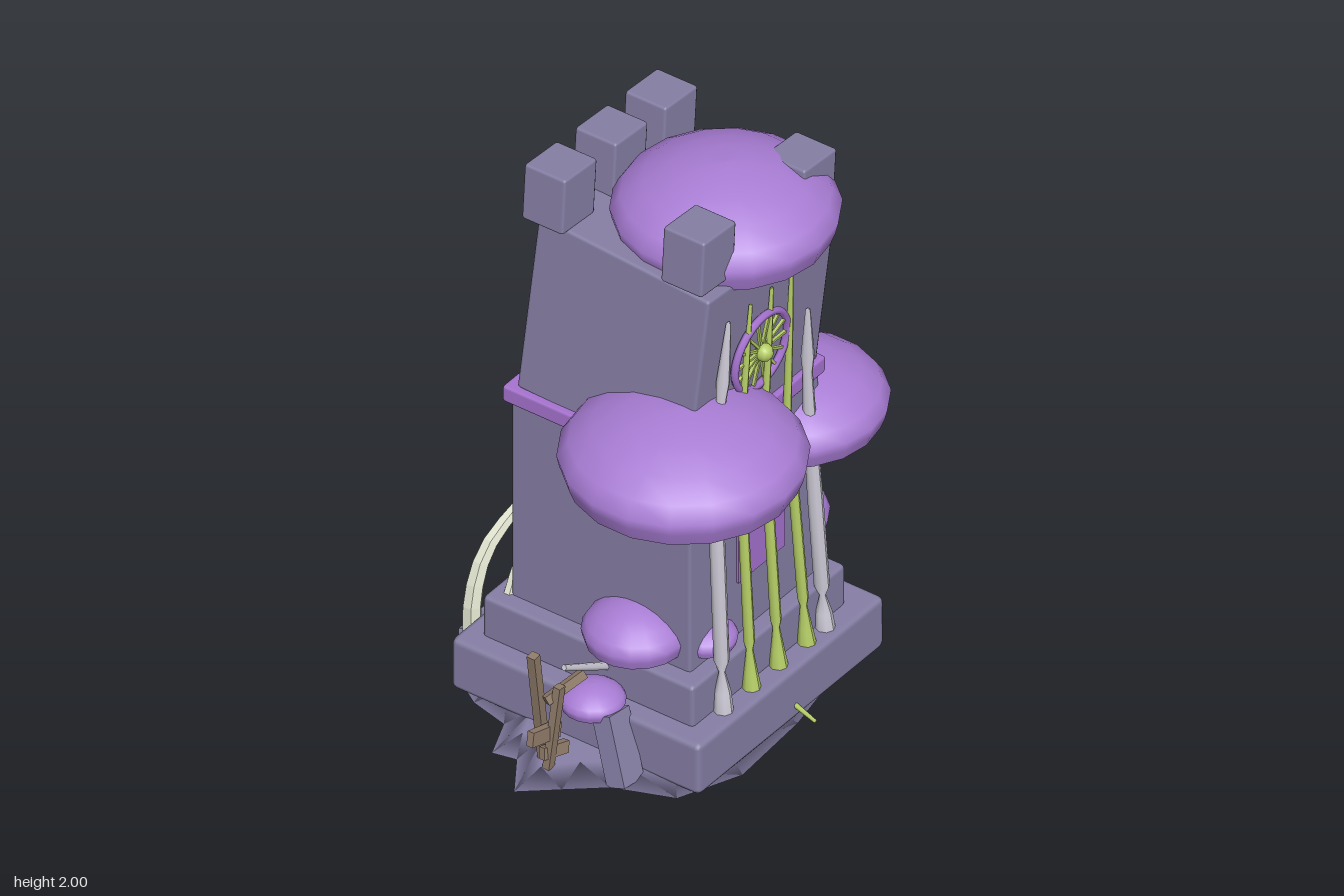
import * as THREE from 'three';
import { RoundedBoxGeometry } from 'three/addons/geometries/RoundedBoxGeometry.js';

const V = (x, y, z) => new THREE.Vector3(x, y, z);

function makeMaterials() {
  const colours = {
    stone: 0x867fa5, cap: 0xa97dd5, trim: 0xa673d0, gill: 0x6f7a3a,
    vine: 0xb5cd66, iron: 0xcac7d3, wood: 0x8f7b69, bone: 0xdfe2cd,
  };
  const mats = {};
  for (const [name, color] of Object.entries(colours)) {
    mats[name] = new THREE.MeshStandardMaterial({ color });
    mats[name].name = name;
  }
  return mats;
}

// Faceted copy of a geometry
function faceted(geo) {
  const g = geo.index ? geo.toNonIndexed() : geo;
  g.computeVertexNormals();
  return g;
}

// Move every vertex by a rule
function reshape(geo, rule) {
  const p = geo.attributes.position, v = V(0, 0, 0);
  for (let i = 0; i < p.count; i++) {
    v.fromBufferAttribute(p, i);
    rule(v, i);
    p.setXYZ(i, v.x, v.y, v.z);
  }
  geo.computeVertexNormals();
  return geo;
}

const lathe = (pts, n) => new THREE.LatheGeometry(pts.map(([r, y]) => new THREE.Vector2(r, y)), n);

export function createModel() {
  const root = new THREE.Group();
  root.name = 'ruinedTower';
  const M = makeMaterials();

  const add = (name, geo, mat, pos = [0, 0, 0], parent = root) => {
    const m = new THREE.Mesh(geo, mat);
    m.name = name;
    m.position.set(...pos);
    parent.add(m);
    return m;
  };
  // Chamfered block given by its extents
  const block = (name, mat, [x0, x1], [y0, y1], [z0, z1], r = 0.012, parent = root) =>
    add(name, new RoundedBoxGeometry(x1 - x0, y1 - y0, z1 - z0, 1, r), mat,
      [(x0 + x1) / 2, (y0 + y1) / 2, (z0 + z1) / 2], parent);
  // Straight bar between two points, round or square
  const bar = (name, mat, a, b, w, d = 0, tip = w) => {
    const len = a.distanceTo(b);
    const geo = d ? new THREE.BoxGeometry(w, len, d) : new THREE.CylinderGeometry(tip, w, len, 6);
    const m = add(name, geo, mat, a.clone().add(b).multiplyScalar(0.5).toArray());
    m.quaternion.setFromUnitVectors(V(0, 1, 0), b.clone().sub(a).normalize());
  };

  // Jagged ground slab with smooth normals, built as rings from top centre to bottom centre
  const outline = [[-0.38, -0.5], [-0.18, -0.65], [0.03, -0.67], [0.47, -0.62], [0.52, -0.42], [0.57, -0.19],
    [0.75, -0.18], [0.63, -0.06], [0.73, 0.02], [0.58, 0.1], [0.52, 0.3], [0.3, 0.42], [0.05, 0.47], [-0.25, 0.48],
    [-0.48, 0.4], [-0.55, 0.2], [-0.64, 0.08], [-0.75, -0.02], [-0.6, -0.12], [-0.62, -0.2], [-0.49, -0.25], [-0.44, -0.4]];
  const rings = [[0, 0.05], [0.82, 0.045], [1, 0.02], [0.7, 0.004], [0, 0]];
  const n = outline.length, verts = [], faces = [];
  rings.forEach(([s, y], k) => outline.forEach(([x, z], i) => {
    verts.push(x * s, y + (k === 2 ? 0.008 * Math.sin(i * 2.3) : 0), z * s);
    const j = (i + 1) % n, a = k * n, b = a + n;
    if (k > 0 && k < 4) faces.push(a + i, a + j, b + i);
    if (k < 3) faces.push(a + j, b + j, b + i);
  }));
  const slab = new THREE.BufferGeometry();
  slab.setAttribute('position', new THREE.Float32BufferAttribute(verts, 3));
  slab.setIndex(faces);
  slab.computeVertexNormals();
  add('groundRubble', slab, M.stone);

  // Plinths, lower shaft, string course and door
  block('lowerPlinth', M.stone, [-0.44, 0.52], [0.03, 0.22], [-0.49, 0.455], 0.02);
  block('upperPlinth', M.stone, [-0.37, 0.42], [0.21, 0.37], [-0.42, 0.38], 0.015);
  block('lowerShaft', M.stone, [-0.31, 0.36], [0.35, 1.13], [-0.355, 0.325]);
  block('stringCourse', M.trim, [-0.33, 0.38], [1.11, 1.17], [-0.375, 0.335], 0.01);
  add('door', new THREE.BoxGeometry(0.24, 0.39, 0.008), M.trim, [0.05, 0.765, 0.328]);

  // Leaning upper shaft with battlements
  const top = new THREE.Group();
  top.name = 'leaningTop';
  top.position.set(0.025, 1.17, -0.01);
  top.rotation.set(0.072, 0, -0.075);
  root.add(top);
  block('upperShaft', M.stone, [-0.33, 0.335], [-0.05, 0.6], [-0.325, 0.325], 0.012, top);
  for (const [x, z, y] of [[-0.275, -0.295, 0.59], [-0.01, -0.295, 0.59], [0.25, -0.295, 0.59], [-0.275, 0.23, 0.62], [0.25, 0.23, 0.62]]) {
    const merlon = block('merlon', M.stone, [x - 0.085, x + 0.085], [y, y + 0.2], [z - 0.078, z + 0.078], 0.01, top);
    merlon.rotation.x = -0.072;
  }

  // Mushroom caps: dome plus pleated underside
  const capProfile = [[0.93, 0], [0.975, 0.18], [1, 0.34], [0.91, 0.54], [0.72, 0.74], [0.47, 0.9], [0.22, 0.98], [0, 1]];
  const gillProfile = [[0, 0.4], [0.3, 0.36], [0.65, 0.22], [0.93, 0]];
  const mushroom = (x, y, z, r, h) => {
    const g = new THREE.Group();
    g.name = 'mushroom';
    g.position.set(x, y, z);
    g.scale.set(r, h, r);
    root.add(g);
    add('cap', lathe(capProfile, 18), M.cap, [0, 0, 0], g);
    const gills = reshape(lathe(gillProfile, 48), (v, i) => {
      const rad = Math.hypot(v.x, v.z);
      if (Math.floor(i / 4) % 2 && rad < 0.9) v.y += 0.12 * rad;
    });
    add('gills', faceted(gills), M.gill, [0, 0, 0], g);
  };
  [[0.12, 1.74, 0.145, 0.358, 0.245], [-0.29, 1.1, 0.285, 0.39, 0.26], [0.395, 0.88, 0.19, 0.307, 0.21],
    [0.345, 0.45, 0.11, 0.215, 0.16], [-0.31, 0.41, 0.12, 0.17, 0.14], [0.3, 0.37, -0.1, 0.132, 0.095],
    [-0.13, 0.35, -0.31, 0.13, 0.1], [0.08, 0.36, -0.34, 0.05, 0.05], [-0.46, 0.225, 0.065, 0.105, 0.08],
    [0.5, 0.21, 0.065, 0.085, 0.075], [-0.18, 0.4, 0.29, 0.1, 0.08]].forEach((m) => mushroom(...m));

  // Tall rods on the front bend with the wall
  const rod = (name, mat, x, dx, lean, height, profile) => {
    const geo = lathe(profile.map(([r, t]) => [r, 0.22 + t * height]), 8);
    add(name, reshape(geo, (v) => {
      const low = Math.min((v.y - 0.22) / 0.88, 1), high = Math.max(v.y - 1.1, 0);
      v.x += x + dx * low + high * lean;
      v.z += 0.4 - 0.052 * low + high * 0.02;
    }), mat);
  };
  const spire = [[0.032, 0], [0.026, 0.05], [0.01, 0.1], [0.025, 0.13], [0.025, 0.4], [0.022, 0.625], [0.016, 0.8], [0.022, 0.85], [0.008, 1], [0, 1]];
  const stem = [[0.03, 0], [0.022, 0.04], [0.011, 0.1], [0.018, 0.12], [0.017, 0.4], [0.014, 0.625], [0.011, 0.85], [0.006, 1], [0, 1]];
  rod('ironSpire', M.iron, -0.24, 0.025, 0.11, 1.41, spire);
  rod('ironSpire', M.iron, 0.285, -0.02, -0.02, 1.21, spire);
  for (const [x, dx, lean] of [[-0.095, 0.01, 0.08], [0.045, -0.005, 0.05], [0.19, -0.03, 0.015]]) {
    rod('vine', M.vine, x, dx, lean, 1.41, stem);
    add('vineBud', new THREE.SphereGeometry(0.028, 10, 8), M.vine, [x + dx, 1.05, 0.36]);
  }

  // Round window with spokes
  const wheel = new THREE.Group();
  wheel.name = 'roundWindow';
  wheel.position.set(0.025, 1.41, 0.348);
  wheel.rotation.x = 0.07;
  root.add(wheel);
  add('windowRing', new THREE.TorusGeometry(0.135, 0.013, 6, 28), M.trim, [0, 0, 0], wheel);
  add('windowHub', new THREE.SphereGeometry(0.03, 10, 8), M.vine, [0, 0, 0.012], wheel);
  for (let i = 0; i < 14; i++) {
    const a = (i / 14) * Math.PI * 2;
    const s = add('windowSpoke', new THREE.BoxGeometry(0.12, 0.009, 0.01), M.vine,
      [Math.cos(a) * 0.07, Math.sin(a) * 0.07, 0], wheel);
    s.rotation.z = a;
  }

  // Rib bones behind the tower: tapered tubes
  const rib = (points, r) => {
    const path = new THREE.CatmullRomCurve3(points.map((p) => V(...p)));
    const geo = new THREE.TubeGeometry(path, 9, r, 6);
    add('rib', faceted(reshape(geo, (v, i) => {
      const t = Math.floor(i / 7) / 9;
      v.lerp(path.getPointAt(t), 0.5 * t * t);
    })), M.bone);
  };
  for (const s of [-1, 1]) {
    rib([[0.03 + s * 0.3, 0.03, -0.5], [0.03 + s * 0.325, 0.2, -0.515], [0.03 + s * 0.25, 0.4, -0.52], [0.03 + s * 0.05, 0.545, -0.485]], 0.033);
    rib([[0.025 + s * 0.33, 0.36, -0.365], [0.025 + s * 0.27, 0.46, -0.365], [0.025 + s * 0.16, 0.53, -0.355]], 0.02);
  }
  block('vertebra', M.bone, [-0.02, 0.08], [0.04, 0.11], [-0.555, -0.495]);

  // Broken fence and fallen spear on each side
  for (const s of [-1, 1]) {
    bar('fencePost', M.wood, V(s * 0.565, 0.03, -0.04), V(s * 0.63, 0.47, -0.035), 0.03, 0.03);
    bar('fencePost', M.wood, V(s * 0.6, 0.04, 0.0), V(s * 0.57, 0.34, 0.02), 0.03, 0.025);
    bar('fenceBoard', M.wood, V(s * 0.55, 0.16, 0.0), V(s * 0.68, 0.19, -0.01), 0.05, 0.025);
    bar('fenceBoard', M.wood, V(s * 0.47, 0.34, 0.04), V(s * 0.6, 0.29, -0.01), 0.03, 0.025);
    bar('fenceBoard', M.wood, V(s * 0.52, 0.08, 0.01), V(s * 0.62, 0.1, -0.01), 0.04, 0.025);
    bar('fallenSpear', M.iron, V(s * 0.35, 0.3, 0.05), V(s * 0.56, 0.41, 0.03), 0.014, 0, 0.01);
  }

  // Stones leaning against the plinth sides
  bar('leaningStone', M.stone, V(-0.5, 0.02, 0.22), V(-0.47, 0.24, 0.14), 0.1, 0.07);
  bar('leaningStone', M.stone, V(0.525, 0.02, 0.22), V(0.5, 0.24, 0.14), 0.06, 0.07);

  // Small sprouts
  bar('sprout', M.vine, V(0.06, 0.085, 0.44), V(0.06, 0.05, 0.53), 0.01, 0, 0.006);
  bar('sprout', M.vine, V(0.5, 0.27, 0.05), V(0.56, 0.3, 0.06), 0.01, 0, 0.006);

  return root;
}
